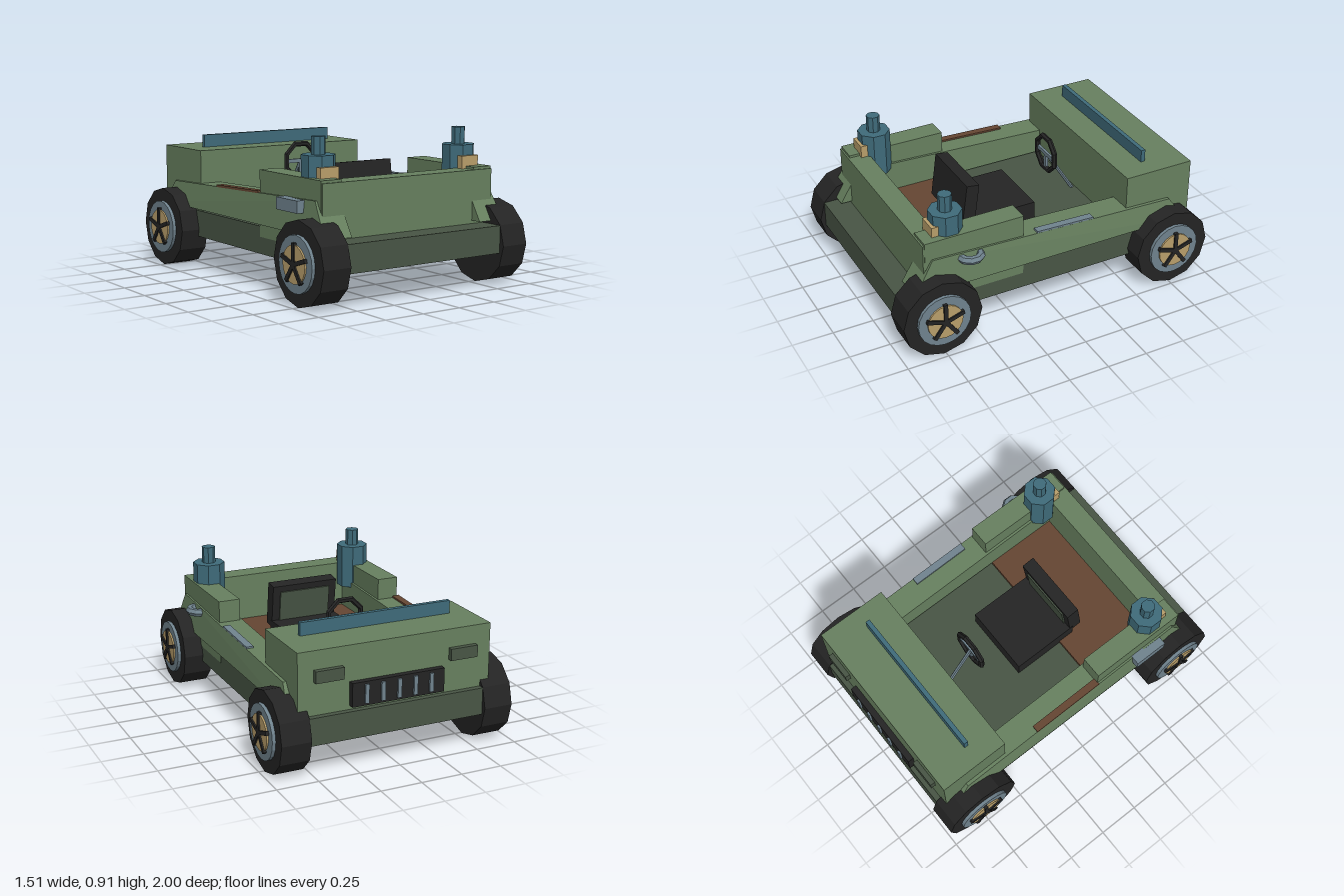
import * as THREE from 'three';

const mat = (name, color) => {
  const m = new THREE.MeshStandardMaterial({ color });
  m.name = name;
  m.flatShading = true;
  return m;
};

export function createModel() {
  const car = new THREE.Group();
  car.name = 'openCar';
  const green = mat('bodyGreen', 0x67805f);
  const dark = mat('darkGreen', 0x485545);
  const black = mat('black', 0x242424);
  const teal = mat('teal', 0x3f6b7a);
  const tan = mat('tan', 0xb99f6b);
  const grey = mat('steel', 0x70838e);
  const brown = mat('brown', 0x654632);

  const add = (name, geo, m, parent = car) => {
    const mesh = new THREE.Mesh(geo, m);
    mesh.name = name;
    parent.add(mesh);
    return mesh;
  };
  // Box given by its limits on each axis
  const box = (name, m, [x0, x1], [y0, y1], [z0, z1], parent = car) => {
    const b = add(name, new THREE.BoxGeometry(x1 - x0, y1 - y0, z1 - z0), m, parent);
    b.position.set((x0 + x1) / 2, (y0 + y1) / 2, (z0 + z1) / 2);
    return b;
  };
  // Mirrors an x range for the given side
  const mx = (s, a, b) => (s > 0 ? [a, b] : [-b, -a]);

  // Chassis, hood and rear wall
  box('chassis', dark, [-0.6, 0.6], [0.2, 0.362], [-0.97, 0.97]);
  box('hood', green, [-0.595, 0.595], [0.355, 0.735], [-0.935, -0.495]);
  box('rearWall', green, [-0.6, 0.6], [0.355, 0.675], [0.69, 0.82]);
  box('rearFloor', brown, [-0.46, 0.46], [0.35, 0.385], [0.23, 0.69]);
  box('windscreen', teal, [-0.47, 0.47], [0.73, 0.812], [-0.692, -0.665]);

  // Side walls: sloped profile, leaning inward at the top
  const profile = new THREE.Shape([
    [0.89, 0.38], [0.77, 0.578], [-0.785, 0.523], [-0.89, 0.38],
  ].map(([z, y]) => new THREE.Vector2(-z, y)));
  for (const s of [1, -1]) {
    const wall = new THREE.ExtrudeGeometry(profile, { depth: 0.18, bevelEnabled: false });
    wall.rotateY(Math.PI / 2);
    wall.translate(s > 0 ? 0.455 : -0.635, 0, 0);
    const p = wall.attributes.position;
    for (let i = 0; i < p.count; i++) {
      if (Math.abs(p.getX(i)) > 0.6 && p.getY(i) > 0.5) p.setX(i, s * 0.615);
    }
    wall.computeVertexNormals();
    add('sideWall', wall, green);

    // Raised rear quarter
    box('rearQuarter', green, mx(s, 0.47, 0.603), [0.3, 0.69], [0.195, 0.81]);

    // Rear lamp towers
    const tower = new THREE.Group();
    tower.name = 'lampTower';
    tower.position.set(s * 0.5, 0, 0.635);
    car.add(tower);
    const cyl = (name, r, y0, y1) => {
      const g = new THREE.CylinderGeometry(r, r, y1 - y0, 8);
      g.rotateY(Math.PI / 8);
      add(name, g, teal, tower).position.y = (y0 + y1) / 2;
    };
    cyl('towerBase', 0.098, 0.54, 0.812);
    cyl('towerCap', 0.041, 0.81, 0.912);
    box('towerLamp', tan, [-0.06, 0.06], [0.66, 0.75], [0.05, 0.11], tower);

    // Front lamps
    box('frontLamp', dark, mx(s, 0.33, 0.5), [0.555, 0.625], [-0.965, -0.93]);
  }

  // Trim strips along the sloping wall tops
  const slope = -0.055 / 1.555;
  const strip = (name, m, x, z0, z1) => {
    const zc = (z0 + z1) / 2;
    const b = add(name, new THREE.BoxGeometry(0.045, 0.014, z1 - z0), m);
    b.position.set(x, 0.578 + (zc - 0.77) * -slope + 0.004, zc);
    b.rotation.x = slope;
  };
  strip('leftTrim', grey, 0.592, -0.26, 0.11);
  strip('rightTrim', brown, -0.595, -0.27, 0.2);

  // Side fittings
  box('sideBox', grey, [-0.665, -0.6], [0.5, 0.57], [0.46, 0.67]);
  const handle = new THREE.TorusGeometry(0.062, 0.025, 6, 5, Math.PI);
  handle.rotateZ(-Math.PI / 2);
  handle.rotateX(Math.PI / 2);
  add('sideHandle', handle, grey).position.set(0.606, 0.54, 0.535);

  // Grille with bars
  box('grille', black, [-0.285, 0.285], [0.385, 0.525], [-0.972, -0.93]);
  for (let i = -2; i <= 2; i++) {
    box('grilleBar', grey, [i * 0.1 - 0.012, i * 0.1 + 0.012], [0.4, 0.51], [-0.984, -0.965]);
  }

  // Seat with forward-leaning back
  box('seatBase', black, [-0.215, 0.215], [0.355, 0.48], [-0.09, 0.33]);
  const back = new THREE.Group();
  back.name = 'seatBack';
  back.position.set(0, 0.44, 0.353);
  back.rotation.x = -0.13;
  car.add(back);
  box('backCushion', black, [-0.213, 0.213], [0, 0.273], [-0.04, 0.04], back);
  box('backPanel', dark, [-0.165, 0.165], [0.045, 0.235], [-0.049, -0.04], back);

  // Steering wheel
  const steering = new THREE.Group();
  steering.name = 'steering';
  steering.position.set(0, 0.657, -0.285);
  car.add(steering);
  const rim = new THREE.TorusGeometry(0.112, 0.017, 6, 8);
  rim.rotateZ(Math.PI / 8);
  add('steeringRim', rim, black, steering);
  box('steeringBar', grey, [-0.1, 0.1], [-0.012, 0.012], [-0.008, 0.008], steering);
  box('steeringSpoke', grey, [-0.012, 0.012], [-0.1, 0], [-0.008, 0.008], steering);
  const column = new THREE.LineCurve3(new THREE.Vector3(0, 0, 0), new THREE.Vector3(0, -0.3, -0.19));
  add('steeringColumn', new THREE.TubeGeometry(column, 1, 0.012, 6), grey, steering);

  // Wheels: tyre, rim, hub disc and five spokes
  for (const s of [1, -1]) {
    for (const z of [0.76, -0.76]) {
      const wheel = new THREE.Group();
      wheel.name = 'wheel';
      wheel.position.set(0, 0.243, z);
      car.add(wheel);
      const disc = (name, m, r, x0, x1, n) => {
        const g = new THREE.CylinderGeometry(r, r, x1 - x0, n);
        g.rotateZ(Math.PI / 2);
        add(name, g, m, wheel).position.x = s * (x0 + x1) / 2;
      };
      disc('tyre', black, 0.242, 0.54, 0.718, 12);
      disc('wheelRim', grey, 0.162, 0.7, 0.738, 20);
      disc('hubDisc', tan, 0.108, 0.72, 0.748, 20);
      for (let i = 0; i < 5; i++) {
        const arm = new THREE.BoxGeometry(0.02, 0.12, 0.024);
        arm.translate(s * 0.747, 0.06, 0);
        arm.rotateX(i * Math.PI * 0.4);
        add('spoke', arm, black, wheel);
      }
    }
  }
  return car;
}
